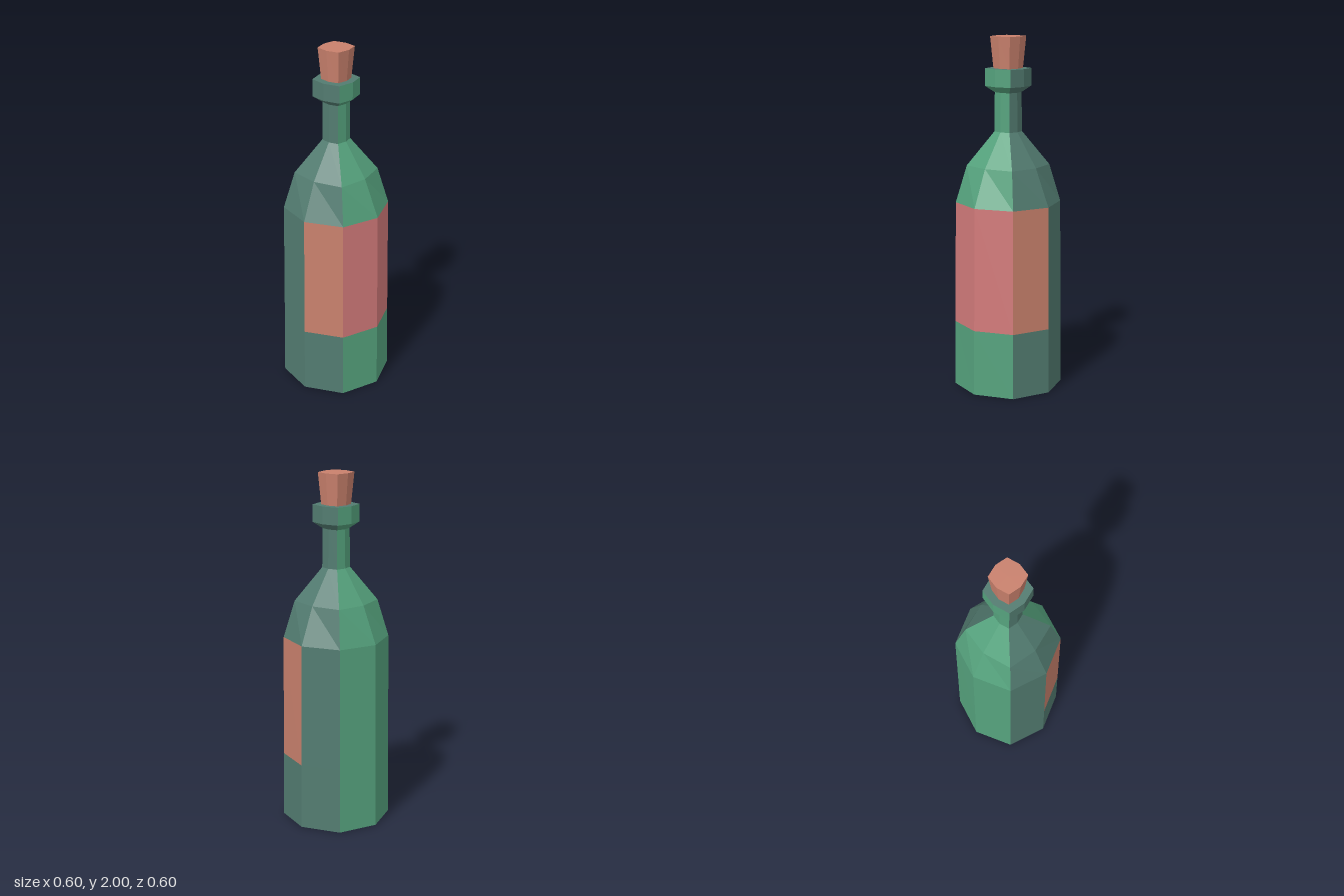
import * as THREE from 'three';

const mat = (name, color) => {
  const m = new THREE.MeshStandardMaterial({ color });
  m.name = name;
  return m;
};

// Eight-sided loft. Each ring is [y, axis reach, diagonal x/z reach].
// pick(facet) returns a material index; capMat lists [bottom, top] indices or null.
function facetedLoft(name, rings, materials, pick, [bottom, top] = [null, null]) {
  const corner = ([y, axis, diag], i) => {
    const r = i % 2 ? diag * Math.SQRT2 : axis;
    const a = (i * Math.PI) / 4;
    return [r * Math.cos(a), y, r * Math.sin(a)];
  };
  const buckets = materials.map(() => []);
  for (let i = 0; i < 8; i++) {
    for (let k = 0; k < rings.length - 1; k++) {
      const a = corner(rings[k], i), b = corner(rings[k], i + 1);
      const c = corner(rings[k + 1], i), d = corner(rings[k + 1], i + 1);
      buckets[pick(i)].push(...a, ...c, ...d, ...a, ...d, ...b);
    }
    // End caps
    const lo = rings[0], hi = rings[rings.length - 1];
    if (bottom !== null) buckets[bottom].push(0, lo[0], 0, ...corner(lo, i), ...corner(lo, i + 1));
    if (top !== null) buckets[top].push(0, hi[0], 0, ...corner(hi, i + 1), ...corner(hi, i));
  }
  const geo = new THREE.BufferGeometry();
  geo.setAttribute('position', new THREE.Float32BufferAttribute(buckets.flat(), 3));
  let start = 0;
  buckets.forEach((b, m) => {
    if (b.length) geo.addGroup(start, b.length / 3, m);
    start += b.length / 3;
  });
  geo.computeVertexNormals();
  const mesh = new THREE.Mesh(geo, materials);
  mesh.name = name;
  return mesh;
}

export function createModel() {
  const bottle = new THREE.Group();
  bottle.name = 'bottle';

  const green = mat('green glass', 0x55a27d);
  const grey = mat('grey green glass', 0x527b70);
  const pink = mat('label pink', 0xd27a7a);
  const clay = mat('cork and label side', 0xc8806c);

  // Facets 1, 2 face front, 5, 6 face back, the rest face sideways
  const glass = [green, grey];
  const glassPick = (i) => ([1, 2, 5, 6].includes(i) ? 0 : 1);
  const labelPick = (i) => (i === 1 || i === 2 ? 2 : i === 0 || i === 3 ? 3 : glassPick(i));

  const base = [0, 0.3, 0.218];
  const labelLow = [0.373, 0.297, 0.215];
  const labelHigh = [1.07, 0.289, 0.21];
  const neckLow = [1.47, 0.067, 0.055];
  const neckHigh = [1.69, 0.065, 0.053];

  bottle.add(
    facetedLoft('lowerBody', [base, labelLow], glass, glassPick, [0, null]),
    facetedLoft('labelledBody', [labelLow, labelHigh], [green, grey, pink, clay], labelPick),
    facetedLoft('shoulder', [labelHigh, [1.28, 0.2, 0.165], neckLow], glass, glassPick),
    facetedLoft('neck', [neckLow, neckHigh], glass, glassPick),
    facetedLoft('lip', [neckHigh, [1.725, 0.112, 0.092], [1.823, 0.112, 0.092]], glass, glassPick, [null, 1]),
    facetedLoft('cork', [[1.82, 0.071, 0.058], [2, 0.086, 0.071]], [clay], () => 0, [null, 0])
  );
  return bottle;
}
